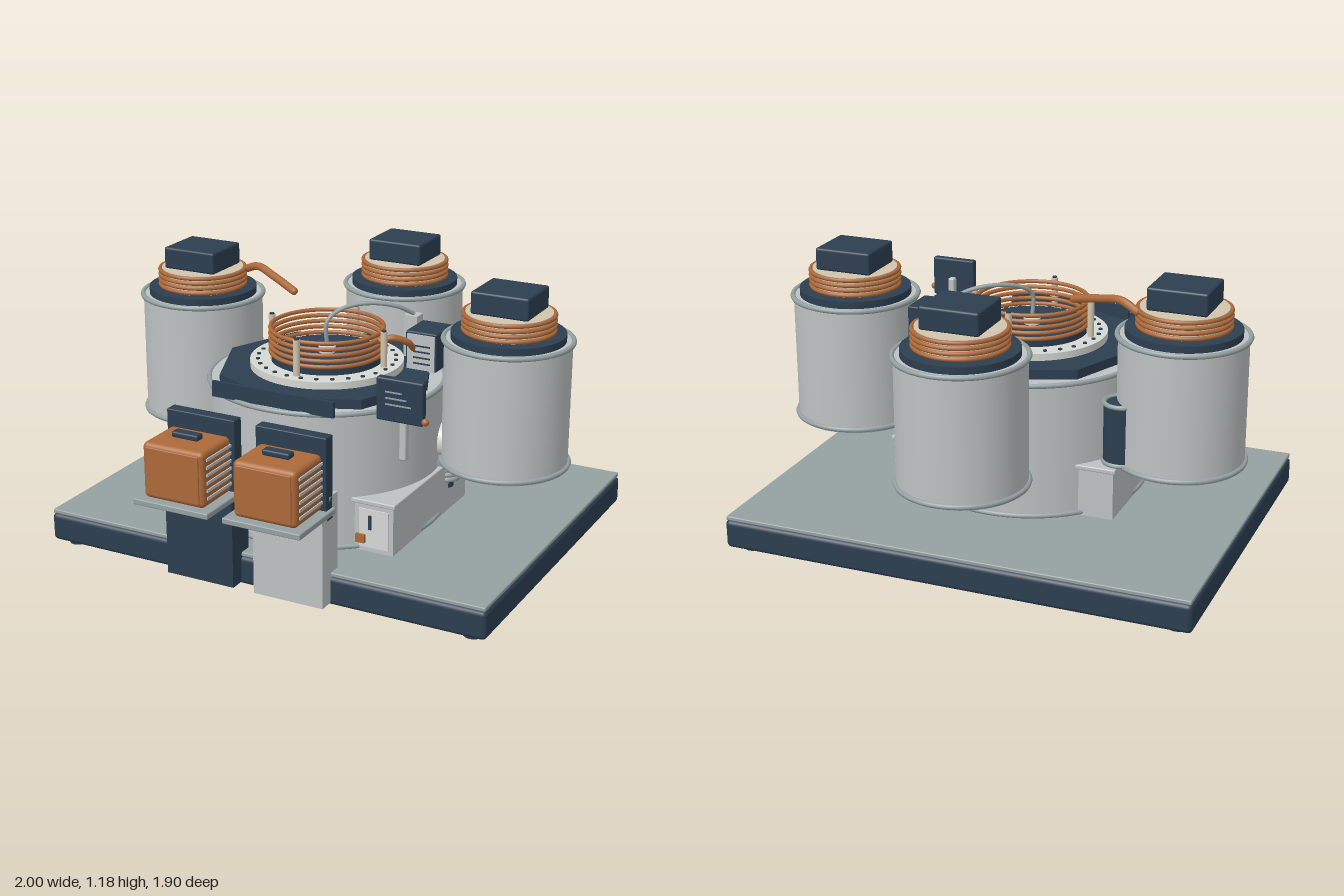
import * as THREE from 'three';
import { RoundedBoxGeometry } from 'three/addons/geometries/RoundedBoxGeometry.js';

const mat = (name, color) => {
  const m = new THREE.MeshStandardMaterial({ color });
  m.name = name;
  return m;
};

export function createModel() {
  const navy = mat('navy', 0x2c3e50);
  const grey = mat('grey', 0x95a1a1);
  const light = mat('lightGrey', 0xbec2c2);
  const white = mat('offWhite', 0xd6d8d4);
  const copper = mat('copper', 0xac693a);
  const cream = mat('cream', 0xd2c5ad);

  const model = new THREE.Group();
  model.name = 'machine';

  const group = (name, x = 0, y = 0, z = 0, parent = model) => {
    const g = new THREE.Group();
    g.name = name;
    g.position.set(x, y, z);
    parent.add(g);
    return g;
  };
  const add = (parent, name, geo, material, x = 0, y = 0, z = 0) => {
    const m = new THREE.Mesh(geo, material);
    m.name = name;
    m.position.set(x, y, z);
    parent.add(m);
    return m;
  };
  // Box given by its lower and upper limits, optionally rounded
  const box = (parent, name, material, [x0, x1], [y0, y1], [z0, z1], r = 0) => {
    const s = [x1 - x0, y1 - y0, z1 - z0];
    const geo = r ? new RoundedBoxGeometry(...s, 3, r) : new THREE.BoxGeometry(...s);
    return add(parent, name, geo, material, (x0 + x1) / 2, (y0 + y1) / 2, (z0 + z1) / 2);
  };
  // Upright cylinder from y0 to y1
  const cyl = (parent, name, material, r, y0, y1, x = 0, z = 0, sides = 64) =>
    add(parent, name, new THREE.CylinderGeometry(r, r, y1 - y0, sides), material, x, (y0 + y1) / 2, z);
  // Horizontal ring
  const ring = (parent, name, material, r, tube, y, x = 0, z = 0) => {
    const m = add(parent, name, new THREE.TorusGeometry(r, tube, 8, 64), material, x, y, z);
    m.rotation.x = Math.PI / 2;
    return m;
  };
  const pipe = (parent, name, material, r, points) => {
    const curve = new THREE.CatmullRomCurve3(points.map((p) => new THREE.Vector3(...p)));
    const m = add(parent, name, new THREE.TubeGeometry(curve, 40, r, 10), material);
    for (const p of [points[0], points[points.length - 1]])
      add(parent, name + 'End', new THREE.SphereGeometry(r, 10, 8), material, ...p);
    return m;
  };

  // Base with deck, feet and underside plate
  const base = group('base');
  box(base, 'plinth', navy, [-1, 1], [0.04, 0.162], [-0.845, 0.675], 0.02);
  box(base, 'deck', grey, [-0.995, 0.995], [0.162, 0.18], [-0.84, 0.67], 0.005);
  box(base, 'undersidePlate', grey, [-0.48, 0.48], [0.017, 0.042], [-0.285, 0.425]);
  for (const s of [-1, 1]) {
    for (const z of [-0.76, 0.6]) cyl(base, 'foot', navy, 0.038, 0.018, 0.045, s * 0.92, z, 24);
    for (const z of [-0.2, 0.35]) cyl(base, 'plateFoot', navy, 0.03, 0, 0.02, s * 0.375, z, 24);
  }

  // Service cabinet around the drum foot
  const cabinet = group('cabinet');
  box(cabinet, 'cabinetBody', light, [-0.49, 0.49], [0.18, 0.385], [-0.285, 0.425]);
  box(cabinet, 'cabinetLid', light, [-0.5, 0.5], [0.385, 0.405], [-0.295, 0.435], 0.005);
  for (const s of [-1, 1]) {
    box(cabinet, 'doorPanel', white, s > 0 ? [0.34, 0.47] : [-0.47, -0.34], [0.2, 0.365], [0.424, 0.43]);
    box(cabinet, 'doorHandle', navy, [s * 0.39 - 0.006, s * 0.39 + 0.006], [0.28, 0.34], [0.428, 0.437]);
  }
  box(cabinet, 'latch', copper, [0.33, 0.37], [0.22, 0.255], [0.428, 0.445]);

  // Central drum
  const CZ = 0.06;
  const drum = group('drum', 0, 0, CZ);
  cyl(drum, 'drumShell', light, 0.485, 0.18, 0.765);
  ring(drum, 'lowerFlange', grey, 0.49, 0.011, 0.193);
  ring(drum, 'upperFlange', grey, 0.49, 0.011, 0.76);
  cyl(drum, 'octagonLid', navy, 0.46, 0.765, 0.805, 0, 0, 8).geometry =
    new THREE.CylinderGeometry(0.46, 0.46, 0.04, 8).toNonIndexed();
  drum.children[3].geometry.computeVertexNormals();
  box(drum, 'frontBand', navy, [-0.275, 0.275], [0.765, 0.83], [0.452, 0.467]);

  // Bolted ring on the lid
  const annulus = new THREE.Shape().absarc(0, 0, 0.32, 0, Math.PI * 2);
  annulus.holes.push(new THREE.Path().absarc(0, 0, 0.235, 0, Math.PI * 2, true));
  const annulusGeo = new THREE.ExtrudeGeometry(annulus, { depth: 0.03, bevelEnabled: false, curveSegments: 48 });
  add(drum, 'boltRing', annulusGeo.rotateX(-Math.PI / 2), white, 0, 0.805, 0);
  for (let i = 0; i < 28; i++) {
    const a = ((i + 0.5) / 28) * Math.PI * 2;
    cyl(drum, 'bolt', navy, 0.009, 0.83, 0.84, Math.cos(a) * 0.288, Math.sin(a) * 0.288, 10);
  }

  // Open coil held by four posts around an inner lid
  cyl(drum, 'innerLid', navy, 0.23, 0.8, 0.86);
  for (let i = 0; i < 5; i++) ring(drum, 'coilTurn', copper, 0.235, 0.009, 0.87 + i * 0.025);
  for (let i = 0; i < 4; i++) {
    const a = (i * Math.PI) / 2;
    const x = Math.cos(a) * 0.262, z = Math.sin(a) * 0.262;
    cyl(drum, 'coilPost', cream, 0.014, 0.83, 0.985, x, z, 16);
    cyl(drum, 'postCap', navy, 0.01, 0.985, 0.99, x, z, 12);
  }
  cyl(drum, 'hub', white, 0.036, 0.86, 0.885, 0, 0, 24);

  // Feed arm over the hub
  const arm = group('feedArm');
  pipe(arm, 'feedPipe', grey, 0.009, [
    [0, 0.88, CZ], [0, 0.99, CZ], [0.04, 1.035, 0], [0.13, 1.05, -0.08], [0.22, 1.03, -0.15], [0.265, 0.99, -0.21],
  ]);
  box(arm, 'armColumn', light, [0.235, 0.295], [0.8, 0.985], [-0.245, -0.185]);

  // Junction box with louvred front
  const junction = group('junctionBox');
  box(junction, 'junctionHousing', navy, [0.305, 0.445], [0.8, 0.965], [-0.22, -0.055], 0.006);
  box(junction, 'junctionCover', light, [0.315, 0.438], [0.8, 0.955], [-0.056, -0.048]);
  for (let i = 0; i < 4; i++)
    box(junction, 'louvre', navy, [0.345, 0.42], [0.83 + i * 0.025, 0.836 + i * 0.025], [-0.049, -0.044]);
  pipe(junction, 'junctionPipe', copper, 0.014, [
    [0.34, 0.89, -0.06], [0.335, 0.93, -0.01], [0.29, 0.955, 0.035], [0.23, 0.94, 0.06],
  ]);

  // Three coil towers, each carried by an arm and joined to the drum by a duct
  const towers = [[-0.725, -0.14], [0.725, -0.14], [0, -0.68]];
  for (const [tx, tz] of towers) {
    const t = group('tower', tx, 0, tz);
    cyl(t, 'towerShell', light, 0.261, 0.435, 0.97);
    ring(t, 'towerLowerFlange', grey, 0.264, 0.011, 0.445);
    ring(t, 'towerUpperFlange', grey, 0.264, 0.011, 0.967);
    cyl(t, 'towerFloor', grey, 0.262, 0.43, 0.436);
    cyl(t, 'collar', navy, 0.235, 0.965, 1.0);
    cyl(t, 'core', cream, 0.178, 1.0, 1.085);
    for (let i = 0; i < 4; i++) ring(t, 'towerCoilTurn', copper, 0.186, 0.009, 1.012 + i * 0.0215);
    box(t, 'headBox', navy, [-0.125, 0.125], [1.085, 1.18], [-0.113, 0.113], 0.01);

    const dx = -tx, dz = CZ - tz, len = Math.hypot(dx, dz);
    const link = group('towerLink', 0, 0, 0, t);
    link.rotation.y = Math.atan2(dx, dz);
    box(link, 'supportArm', grey, [-0.06, 0.06], [0.41, 0.435], [-0.01, len - 0.4]);
    const duct = add(link, 'duct', new THREE.CylinderGeometry(0.07, 0.07, len - 0.6, 32), white, 0, 0.51, len / 2 - 0.1);
    duct.rotation.x = Math.PI / 2;
  }
  pipe(model, 'transferPipe', copper, 0.017, [
    [-0.56, 1.07, -0.235], [-0.48, 1.098, -0.205], [-0.38, 1.08, -0.16], [-0.245, 1.045, -0.1],
  ]);

  // Bellows below the left tower and canister beside the right tower
  const bellows = group('bellows', 0.465, 0, -0.13);
  cyl(bellows, 'bellowsCore', navy, 0.035, 0.28, 0.43, 0, 0, 24);
  cyl(bellows, 'bellowsSleeve', grey, 0.055, 0.32, 0.43, 0, 0, 24);
  for (let i = 0; i < 5; i++) ring(bellows, 'bellowsFold', grey, 0.056, 0.011, 0.325 + i * 0.022);
  const canister = group('canister', -0.52, 0, -0.275);
  cyl(canister, 'canisterBody', navy, 0.075, 0.45, 0.7, 0, 0, 32);
  for (const y of [0.45, 0.7]) ring(canister, 'canisterBand', grey, 0.073, 0.01, y);

  // Control panel on its post
  const panel = group('controlPanel');
  box(panel, 'panelPlate', navy, [0.45, 0.648], [0.788, 0.962], [0.475, 0.51], 0.008);
  box(panel, 'panelPost', light, [0.533, 0.563], [0.62, 0.88], [0.443, 0.476], 0.008);
  for (let i = 0; i < 3; i++)
    box(panel, 'panelLine', grey, [0.49, 0.6 - i * 0.02], [0.855 + i * 0.025, 0.861 + i * 0.025], [0.509, 0.513]);
  add(panel, 'panelKnob', new THREE.SphereGeometry(0.015, 16, 12), copper, 0.662, 0.813, 0.515);

  // Two front stations, each with a ribbed cassette on a shelf
  for (const [x, columnMat] of [[-0.22, navy], [0.185, light]]) {
    const s = group('station', x);
    box(s, 'column', columnMat, [-0.155, 0.155], [0.052, 0.43], [0.615, 0.74]);
    box(s, 'columnTop', columnMat, [-0.155, 0.155], [0.43, 0.505], [0.615, 0.685]);
    box(s, 'shelf', grey, [-0.17, 0.17], [0.43, 0.455], [0.655, 0.945], 0.005);
    box(s, 'backPlate', navy, [-0.155, 0.155], [0.405, 0.755], [0.653, 0.708], 0.005);
    box(s, 'cassette', copper, [-0.138, 0.138], [0.455, 0.688], [0.7, 0.918], 0.022);
    box(s, 'cassetteFront', copper, [-0.12, 0.12], [0.472, 0.672], [0.912, 0.923], 0.004);
    for (let i = 0; i < 6; i++)
      box(s, 'rib', light, [-0.143, 0.143], [0.487 + i * 0.032, 0.499 + i * 0.032], [0.712, 0.892]);
    box(s, 'handle', navy, [-0.06, 0.06], [0.69, 0.715], [0.782, 0.826], 0.008);
  }

  return model;
}
